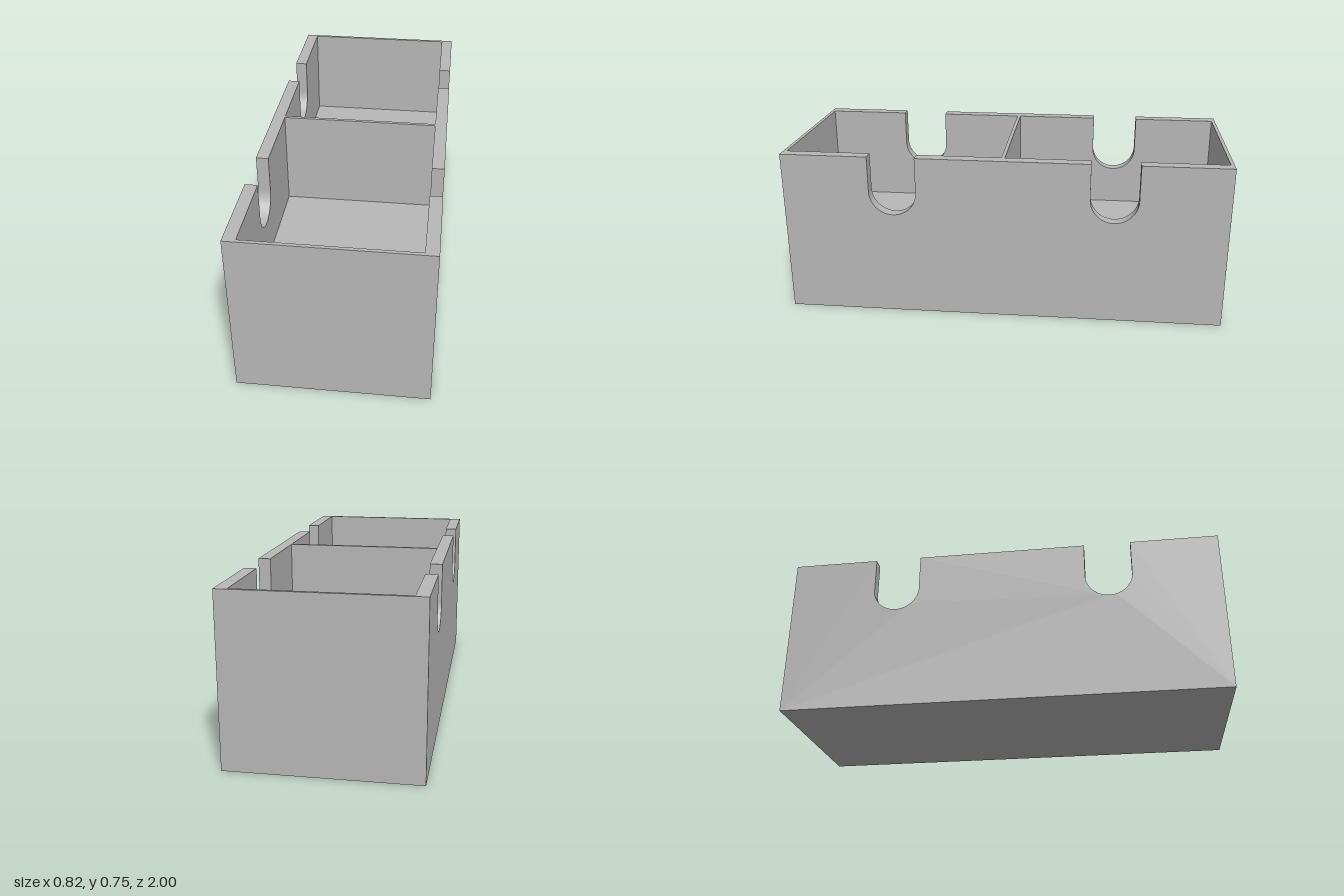
import * as THREE from 'three';

const W = 0.824, H = 0.75, L = 2;   // outer size
const SIDE = 0.055, THIN = 0.016;   // thick side walls, thin end walls and divider
const FLOOR = 0.3;                  // height of the compartment floor
const NOTCH_Z = 0.496, NOTCH_R = 0.107, NOTCH_Y = 0.587;

export function createModel() {
  const group = new THREE.Group();
  group.name = 'dividedBox';
  const grey = new THREE.MeshStandardMaterial({ color: 0xb8b8b8 });
  grey.name = 'grey';

  const add = (name, geometry, x, y, z) => {
    const mesh = new THREE.Mesh(geometry, grey);
    mesh.name = name;
    mesh.position.set(x, y, z);
    group.add(mesh);
  };

  // Side wall profile with two round-bottomed notches in its top edge
  const profile = new THREE.Shape();
  profile.moveTo(-L / 2, 0);
  profile.lineTo(L / 2, 0);
  profile.lineTo(L / 2, H);
  for (const c of [NOTCH_Z, -NOTCH_Z]) {
    profile.lineTo(c + NOTCH_R, H);
    profile.lineTo(c + NOTCH_R, NOTCH_Y);
    profile.absarc(c, NOTCH_Y, NOTCH_R, 0, -Math.PI, true);
    profile.lineTo(c - NOTCH_R, H);
  }
  profile.lineTo(-L / 2, H);
  profile.closePath();
  const wall = new THREE.ExtrudeGeometry(profile, { depth: SIDE, bevelEnabled: false, curveSegments: 32 });
  wall.rotateY(-Math.PI / 2);       // profile x runs along z, depth runs towards -x
  add('leftWall', wall, W / 2, 0, 0);
  add('rightWall', wall, -W / 2 + SIDE, 0, 0);

  // Solid base between the side walls
  const inner = W - 2 * SIDE;
  add('floor', new THREE.BoxGeometry(inner, FLOOR, L), 0, FLOOR / 2, 0);

  // End walls and central divider standing on the base
  const panel = new THREE.BoxGeometry(inner, H - FLOOR, THIN);
  const y = (H + FLOOR) / 2, end = (L - THIN) / 2;
  add('frontWall', panel, 0, y, end);
  add('divider', panel, 0, y, 0);
  add('backWall', panel, 0, y, -end);

  return group;
}
